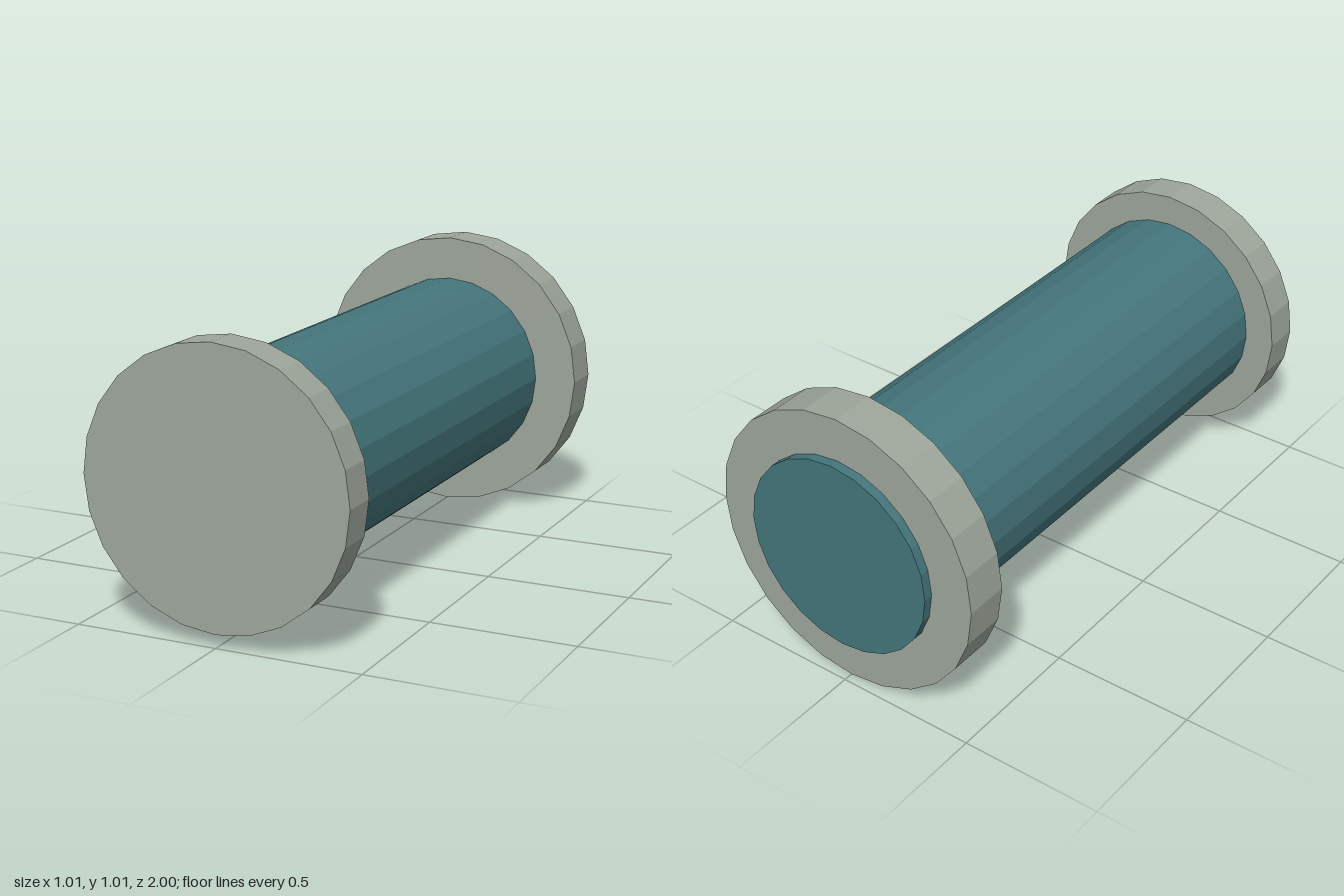
import * as THREE from 'three';

const SIDES = 24;
const CENTER_Y = 0.507;

export function createModel() {
  const group = new THREE.Group();
  group.name = 'flangedRoller';

  const teal = new THREE.MeshStandardMaterial({ color: 0x44767c, flatShading: true });
  teal.name = 'teal';
  const grey = new THREE.MeshStandardMaterial({ color: 0x9ea69b, flatShading: true });
  grey.name = 'warmGrey';

  // A faceted disc or rod lying along z
  function rod(name, radius, zBack, zFront, material) {
    const geometry = new THREE.CylinderGeometry(radius, radius, zFront - zBack, SIDES);
    geometry.rotateX(Math.PI / 2);
    const mesh = new THREE.Mesh(geometry, material);
    mesh.name = name;
    mesh.position.set(0, CENTER_Y, (zBack + zFront) / 2);
    group.add(mesh);
  }

  // Central barrel, poking out slightly behind the back flange
  rod('barrel', 0.352, -1, 0.9, teal);
  // Closed cap at the front, larger collar near the back
  rod('frontCap', 0.461, 0.87, 1, grey);
  rod('backCollar', 0.505, -0.967, -0.813, grey);

  return group;
}
